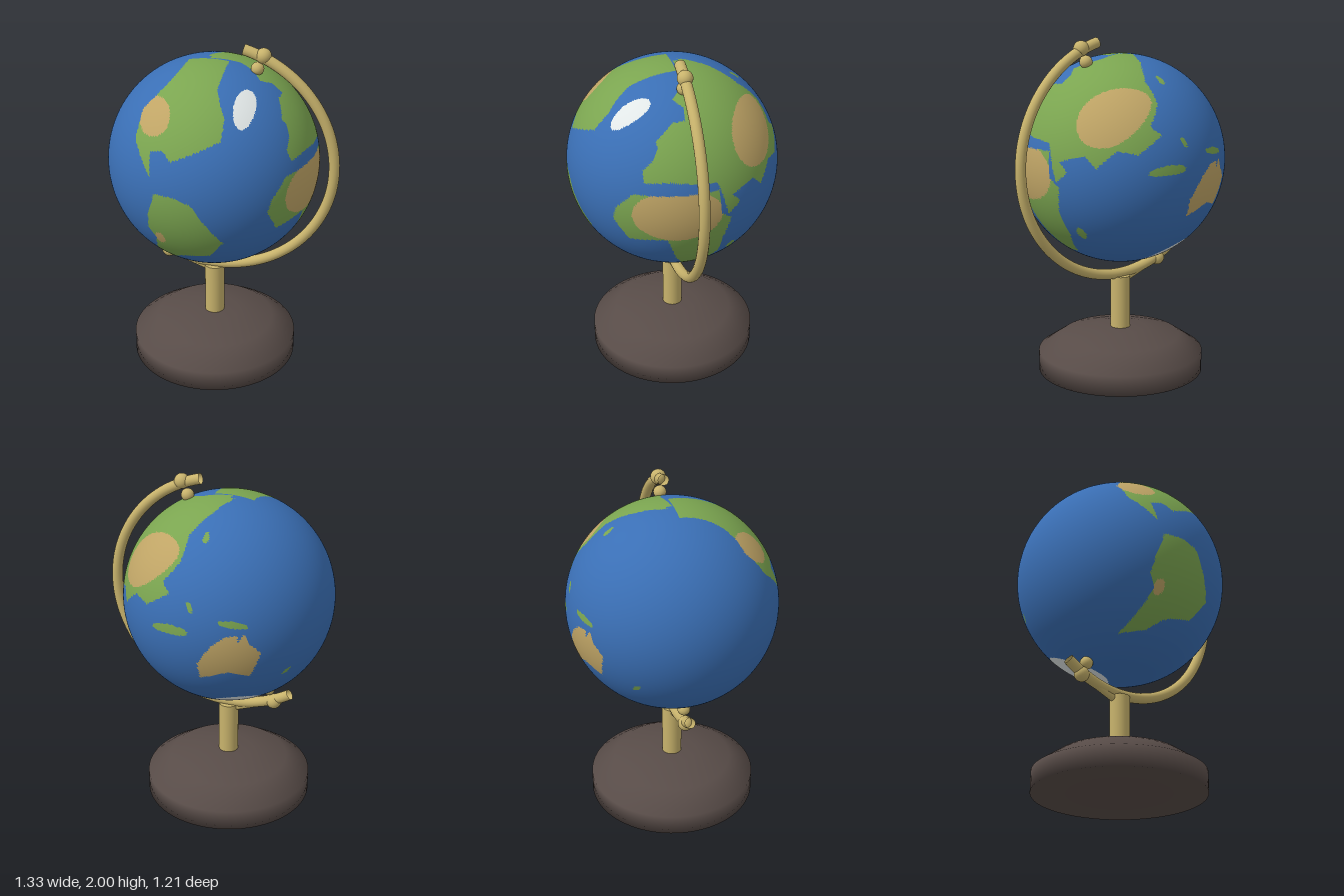
import * as THREE from 'three';

const mat = (name, color, side = THREE.FrontSide) => {
  const m = new THREE.MeshStandardMaterial({ color, side });
  m.name = name;
  return m;
};

const CENTER = new THREE.Vector3(-0.066, 1.288, 0);
const RADIUS = 0.606;
const TILT = THREE.MathUtils.degToRad(23.4);
const AXIS = new THREE.Vector3(Math.sin(TILT), Math.cos(TILT), 0);
const OCEAN = 0, LAND = 1, DESERT = 2, ICE = 3;

// A direction from which outlines are projected onto the ball
function side(azimuth, elevation) {
  const a = THREE.MathUtils.degToRad(azimuth), e = THREE.MathUtils.degToRad(elevation);
  const sa = Math.sin(a), ca = Math.cos(a), se = Math.sin(e), ce = Math.cos(e);
  return {
    toward: new THREE.Vector3(sa * ce, se, ca * ce),
    right: new THREE.Vector3(ca, 0, -sa),
    up: new THREE.Vector3(-sa * se, ce, -ca * se),
  };
}
const FRONT = side(0, 0), RIGHT = side(90, 0), TOP = side(0, 90), BOTTOM = side(0, -90), BACK = side(216, 23);

// Regions of the ball, in hundredths of its radius
const lands = [], dryLands = [], dryIslands = [], ices = [];

function outline(region, view, points) {
  region.push((d) => {
    if (d.dot(view.toward) <= 0) return false;
    const x = 100 * d.dot(view.right), y = 100 * d.dot(view.up);
    let hit = false;
    points.forEach(([xi, yi], i) => {
      const [xj, yj] = points.at(i - 1);
      if ((yi > y) !== (yj > y) && x < ((xj - xi) * (y - yi)) / (yj - yi) + xi) hit = !hit;
    });
    return hit;
  });
}

function oval(region, view, cx, cy, rx, ry, degrees = 0) {
  const t = THREE.MathUtils.degToRad(degrees), c = Math.cos(t), s = Math.sin(t);
  region.push((d) => {
    const x = 100 * d.dot(view.right) - cx, y = 100 * d.dot(view.up) - cy;
    return d.dot(view.toward) > 0 && Math.hypot((x * c + y * s) / rx, (y * c - x * s) / ry) < 1;
  });
}

// North America, its southern and northern part
outline(lands, FRONT, [[-20, 101], [15, 101], [15, 89], [27, 71], [27, 56], [12, 49], [-15, 37], [-24, 45],
  [-36, 41], [-34, 19], [-53, 46], [-51, 68], [-31, 89]]);
outline(lands, TOP, [[-14, -8], [1, -11], [1, -33], [15, -50], [28, -72], [9, -83], [-45, -78], [-52, -67],
  [-48, -58], [-26, -47], [-18, -36], [-20, -14]]);
oval(dryLands, FRONT, -37, 66, 16, 13, 20);

// South America
outline(lands, FRONT, [[-30, 6], [-12, 6], [5, 1], [31, -41], [17, -61], [-11, -67], [-23, -77], [-41, -80],
  [-32, -46], [-39, -34], [-37, -18]]);
oval(dryLands, FRONT, -28, -44, 5, 7);

// Africa
outline(lands, RIGHT, [[-70, 1], [-56, 18], [19, 20], [21, -4], [31, -12], [25, -34], [24, -59], [10, -81],
  [-4, -82], [-16, -60], [-27, -30], [-40, -30], [-59, -34], [-72, -13]]);
oval(dryLands, RIGHT, -18, -3, 40, 27);
oval(lands, RIGHT, 37, -56, 4, 6, -15);

// Europe and Asia, the western, northern and eastern part
outline(lands, RIGHT, [[-47, 29], [-47, 39], [-31, 54], [-33, 62], [-16, 75], [-5, 75], [-3, 87], [5, 95],
  [40, 88], [62, 72], [82, 47], [85, 21], [78, 29], [63, 8], [54, 19], [31, 12], [40, 3], [28, -7], [20, 20],
  [17, 27], [-27, 31]]);
outline(lands, TOP, [[34, 89], [26, 73], [9, 43], [1, 29], [-4, 1], [47, 7], [65, -4], [65, -16], [80, -39],
  [93, 0], [76, 55], [50, 80]]);
outline(lands, BACK, [[2, 88], [-30, 75], [-44, 71], [-49, 57], [-60, 37], [-76, 21], [-72, 11], [-89, 3],
  [-104, 31], [-74, 81], [-34, 96]]);
oval(dryLands, RIGHT, 58, 51, 20, 26, 30);

// Australia and the islands around it
outline(dryIslands, BACK, [[-54, -54], [-45, -40], [-32, -32], [-22, -32], [-21, -38], [-16, -31], [-12, -40],
  [0, -50], [-8, -71], [-28, -65], [-50, -68]]);
oval(lands, BACK, -74, -21, 13, 4, -22);
oval(lands, BACK, -25, -22, 13, 3, -15);
oval(lands, BACK, -59, -3, 2, 5, 15);
oval(lands, BACK, -36, 54, 4, 2, 40);
oval(lands, BACK, 28, -71, 5, 1.5, 35);
oval(lands, TOP, 1, 58, 2, 4);

// Greenland and Antarctica
oval(ices, TOP, 41, -48, 9, 18, -5);
oval(ices, BOTTOM, -21, -35, 27, 30);

function surfaceKind(d) {
  const within = (region) => region.some((test) => test(d));
  if (within(ices)) return ICE;
  if (within(dryIslands)) return DESERT;
  if (within(lands)) return within(dryLands) ? DESERT : LAND;
  return OCEAN;
}

// Ball whose faces are sorted by colour into groups
function globeGeometry() {
  const geo = new THREE.SphereGeometry(RADIUS, 280, 180);
  geo.rotateZ(-TILT);
  const pos = geo.attributes.position, idx = geo.index.array;
  const buckets = [[], [], [], []];
  const d = new THREE.Vector3(), p = new THREE.Vector3();
  for (let i = 0; i < idx.length; i += 3) {
    d.set(0, 0, 0);
    for (let k = 0; k < 3; k++) d.add(p.fromBufferAttribute(pos, idx[i + k]));
    buckets[surfaceKind(d.normalize())].push(idx[i], idx[i + 1], idx[i + 2]);
  }
  geo.setIndex(buckets.flat());
  let start = 0;
  buckets.forEach((b, k) => {
    geo.addGroup(start, b.length, k);
    start += b.length;
  });
  return geo;
}

export function createModel() {
  const group = new THREE.Group();
  const brass = mat('brass', 0xc8b36c, THREE.DoubleSide);
  const darkWood = mat('dark wood', 0x584c48);
  const earth = [mat('ocean blue', 0x3a6fb5), mat('land green', 0x7ba550), mat('desert tan', 0xc0a566), mat('ice white', 0xe8eeee)];

  const add = (name, geometry, material, position) => {
    const mesh = new THREE.Mesh(geometry, material);
    mesh.name = name;
    mesh.position.copy(position);
    group.add(mesh);
    return mesh;
  };

  add('globe', globeGeometry(), earth, CENTER);

  // Stand
  const profile = [[0, 0], [0.49, 0], [0.49, 0.12], [0.352, 0.213], [0.15, 0.26], [0, 0.26]];
  add('base', new THREE.LatheGeometry(profile.map(([x, y]) => new THREE.Vector2(x, y)), 64), darkWood,
    new THREE.Vector3(CENTER.x, 0, 0));
  add('post', new THREE.CylinderGeometry(0.058, 0.058, 0.325, 32), brass, new THREE.Vector3(CENTER.x, 0.4125, 0));

  // Half ring that reaches a little past both poles
  const past = THREE.MathUtils.degToRad(9.3);
  const ring = add('meridianArm', new THREE.TorusGeometry(0.698, 0.031, 16, 96, Math.PI + 2 * past), brass, CENTER);
  ring.rotation.z = -Math.PI / 2 - TILT - past;

  // Short brace between the post and the lower pivot
  const from = new THREE.Vector3(-0.345, 0.64, 0), to = new THREE.Vector3(-0.1, 0.552, 0);
  const along = to.clone().sub(from);
  const brace = add('brace', new THREE.CylinderGeometry(0.022, 0.022, along.length(), 16), brass,
    from.clone().add(to).multiplyScalar(0.5));
  brace.quaternion.setFromUnitVectors(new THREE.Vector3(0, 1, 0), along.normalize());

  // Pivots at both poles
  for (const s of [1, -1]) {
    const at = (r) => CENTER.clone().addScaledVector(AXIS, s * r);
    add('pivotKnob', new THREE.SphereGeometry(0.044, 24, 16), brass, at(0.709));
    add('pivotPin', new THREE.SphereGeometry(0.037, 24, 16), brass, at(0.625));
  }
  return group;
}
